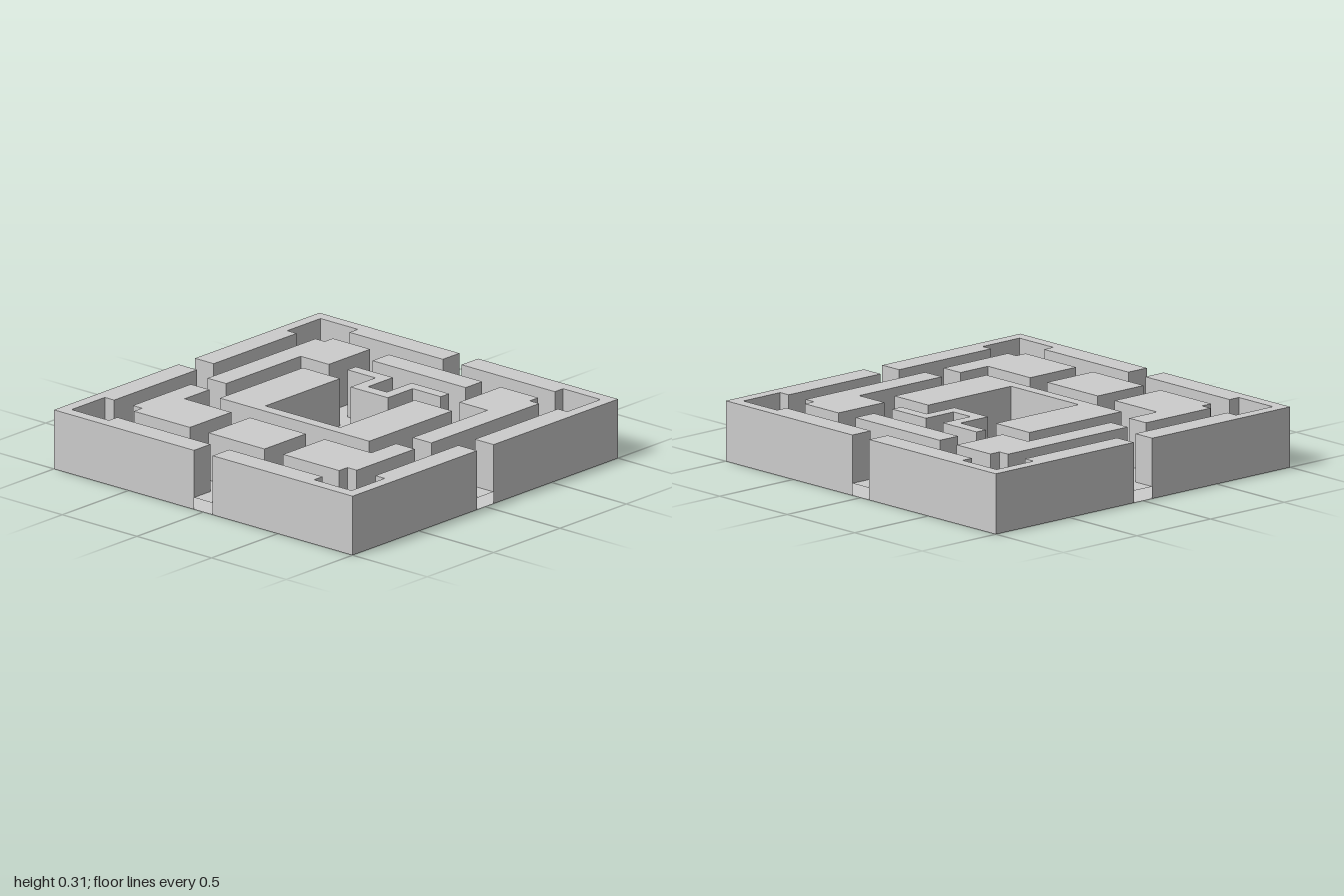
import * as THREE from 'three';

const U = 1 / 16;      // plan grid step
const FLOOR = U;       // walking level
const TOP = 5 * U;     // top of every wall

const material = new THREE.MeshStandardMaterial({ color: 0xcccccc, flatShading: true });
const thin = new THREE.MeshStandardMaterial({ color: 0xcccccc, flatShading: true, side: THREE.DoubleSide });

const rect = (x0, z0, x1, z1) => [[x0, z0], [x1, z0], [x1, z1], [x0, z1]];
const outline = (pts) => pts.map(([x, z]) => new THREE.Vector2(x * U, z * U));

export function createModel() {
  const group = new THREE.Group();
  const add = (name, geometry, mat = material) => {
    const mesh = new THREE.Mesh(geometry, mat);
    mesh.name = name;
    group.add(mesh);
    return mesh;
  };

  // Plan outline in grid steps (x, z), raised from the floor to a height
  const raise = (name, pts, top = TOP) => {
    const geometry = new THREE.ExtrudeGeometry(new THREE.Shape(outline(pts)), {
      depth: top - FLOOR, bevelEnabled: false,
    });
    geometry.rotateX(Math.PI / 2).translate(0, top, 0);
    add(name, geometry);
  };
  const mirror = (pts, sx, sz) => pts.map(([x, z]) => [x * sx, z * sz]);

  // Hollow floor: a walking surface over an underside with two small pits
  const pits = [rect(7, -10, 8, -9), rect(-15, 9, -13, 10)];
  add('floor', new THREE.PlaneGeometry(2, 2).rotateX(-Math.PI / 2).translate(0, FLOOR, 0), thin);
  const base = new THREE.Shape(outline(rect(-16, -16, 16, 16)));
  pits.forEach((p) => base.holes.push(new THREE.Path(outline(p))));
  add('underside', new THREE.ShapeGeometry(base).rotateX(Math.PI / 2), thin);
  for (const p of pits) {
    const w = (p[1][0] - p[0][0]) * U, d = (p[2][1] - p[1][1]) * U;
    const sides = new THREE.CylinderGeometry(Math.SQRT1_2, Math.SQRT1_2, FLOOR, 4, 1, true, Math.PI / 4);
    sides.scale(w, 1, d).translate(p[0][0] * U + w / 2, FLOOR / 2, p[0][1] * U + d / 2);
    add('pitSides', sides, thin);
  }

  // Skirt around the floor edge, open at the four gateways
  for (let i = 0; i < 4; i++) {
    for (const s of [-1, 1]) {
      const strip = new THREE.PlaneGeometry(15 * U, FLOOR);
      strip.translate(s * 8.5 * U, FLOOR / 2, 1).rotateY(i * Math.PI / 2);
      add('floorSkirt', strip, thin);
    }
  }

  // Outer wall: one corner piece mirrored into four, with notched corners
  const corner = [[1, 16], [16, 16], [16, 1], [14, 1], [14, 11], [15, 11],
    [15, 15], [11, 15], [11, 14], [1, 14]];
  for (const sx of [-1, 1]) {
    for (const sz of [-1, 1]) raise('outerWallCorner', mirror(corner, sx, sz));
  }

  // Middle ring of blocks, mirrored front to back
  const rightBlock = [[-12, 5], [-7, 5], [-7, 10], [-4, 10], [-4, 12], [-11, 12], [-11, 11], [-12, 11]];
  const longBlock = [[-2, 10], [7, 10], [7, 7], [12, 7], [12, 11], [11, 11], [11, 12], [-2, 12]];
  for (const sz of [-1, 1]) {
    raise('cornerBlock', mirror(rightBlock, 1, sz));
    raise('longBlock', mirror(longBlock, 1, sz));
  }
  raise('sideBlock', rect(-12, -3, -7, 3));
  raise('gateScreen', rect(10, -5, 12, 5));

  // Central wall, open on one side
  raise('courtWall', [[-5, -8], [5, -8], [5, -4], [-4, -4], [-4, 4], [5, 4], [5, 8], [-5, 8]]);

  // Stair enclosure facing the screen, with three steps climbing into it
  raise('stairWall', [[7, -5], [8, -5], [8, -1], [5, -1], [5, 1], [8, 1], [8, 5], [7, 5],
    [7, 2], [4, 2], [4, -2], [7, -2]]);
  for (let i = 0; i < 3; i++) raise('step', rect(7 - i, -1, 8 - i, 1), FLOOR + (i + 1) * U);

  return group;
}
